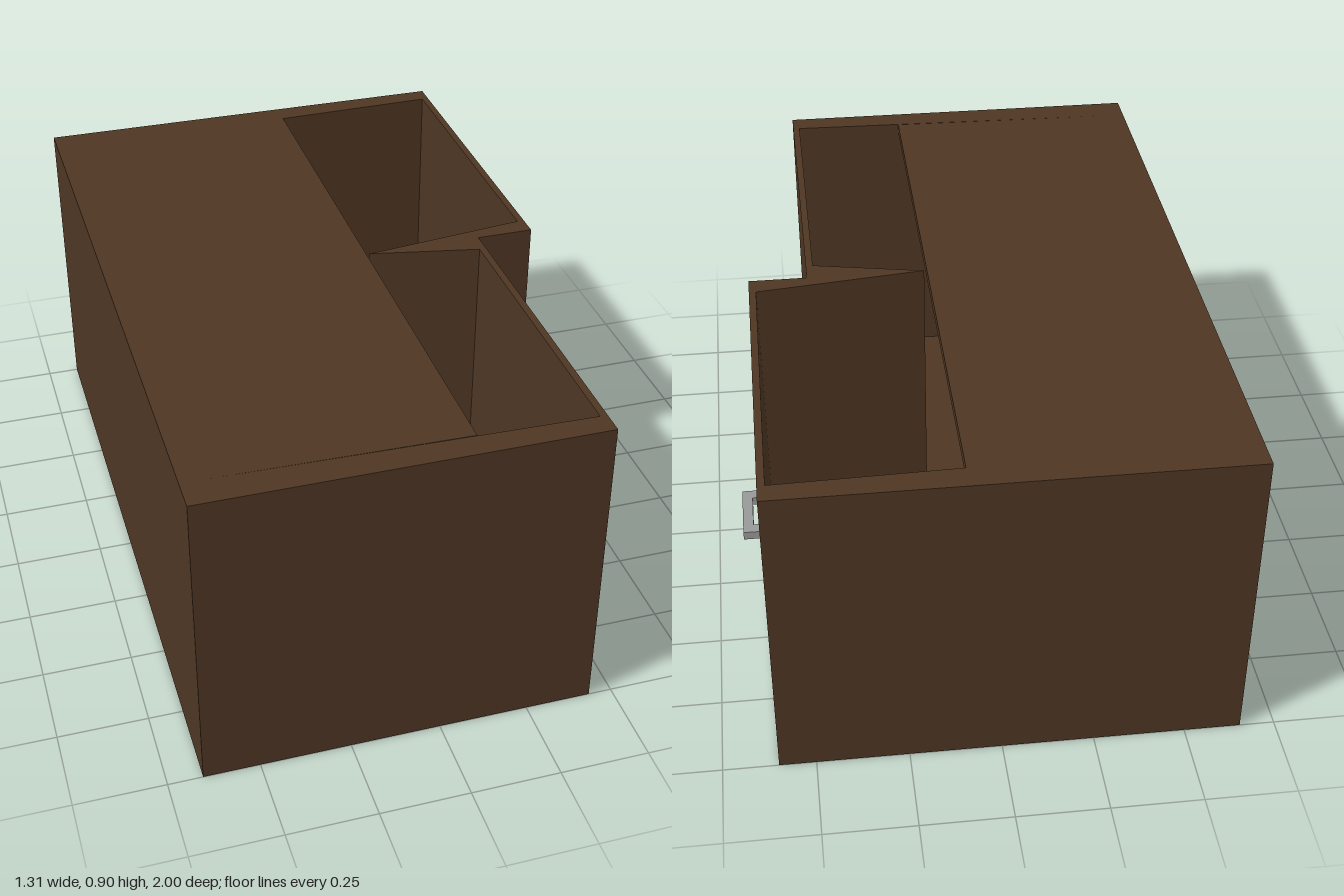
import * as THREE from 'three';

const wood = new THREE.MeshStandardMaterial({ color: 0x4e3623, side: THREE.DoubleSide });
const metal = new THREE.MeshStandardMaterial({ color: 0x999999 });

// Plan outlines as [x, z] points
const outer = [[-0.655, -1], [0.6, -1], [0.6, 0], [0.435, 0], [0.435, 1], [-0.655, 1]];
const inner = [[-0.6, -0.91], [0.58, -0.94], [0.58, -0.06], [0.1, 0], [0.415, 0.065], [0.415, 0.935], [-0.6, 0.91]];
const lid = [[-0.6, -0.91], [0.092, -0.928], [0.092, 0.925], [-0.6, 0.91]];

// Counter-clockwise, so that openings are wound to face inwards
const toPoints = (pts) => pts.map(([x, z]) => new THREE.Vector2(x, -z)).reverse();

// Raises a plan outline from y0 to y1, with an optional opening
function slab(name, pts, y0, y1, material, hole) {
  const shape = new THREE.Shape(toPoints(pts));
  if (hole) shape.holes.push(new THREE.Path(toPoints(hole)));
  const geo = new THREE.ExtrudeGeometry(shape, { depth: y1 - y0, bevelEnabled: false });
  geo.rotateX(-Math.PI / 2).translate(0, y0, 0);
  const mesh = new THREE.Mesh(geo, material);
  mesh.name = name;
  return mesh;
}

// Bracket-shaped pull standing off a drawer front
function handle(name, x, y, z) {
  const pts = [[0, -0.09], [0.055, -0.09], [0.055, 0.09], [0, 0.09],
    [0, 0.058], [0.027, 0.058], [0.027, -0.058], [0, -0.058]];
  const mesh = slab(name, pts, -0.012, 0.012, metal);
  mesh.position.set(x, y, z);
  return mesh;
}

export function createModel() {
  const model = new THREE.Group();
  model.name = 'drawerCabinet';
  model.add(
    slab('base', outer, 0, 0.06, wood),
    slab('walls', outer, 0.06, 0.9, wood, inner),
    slab('topPanel', lid, 0.87, 0.9, wood),
    handle('rearDrawerHandle', 0.6, 0.45, -0.49),
    handle('frontDrawerHandle', 0.435, 0.458, 0.565),
  );
  return model;
}
